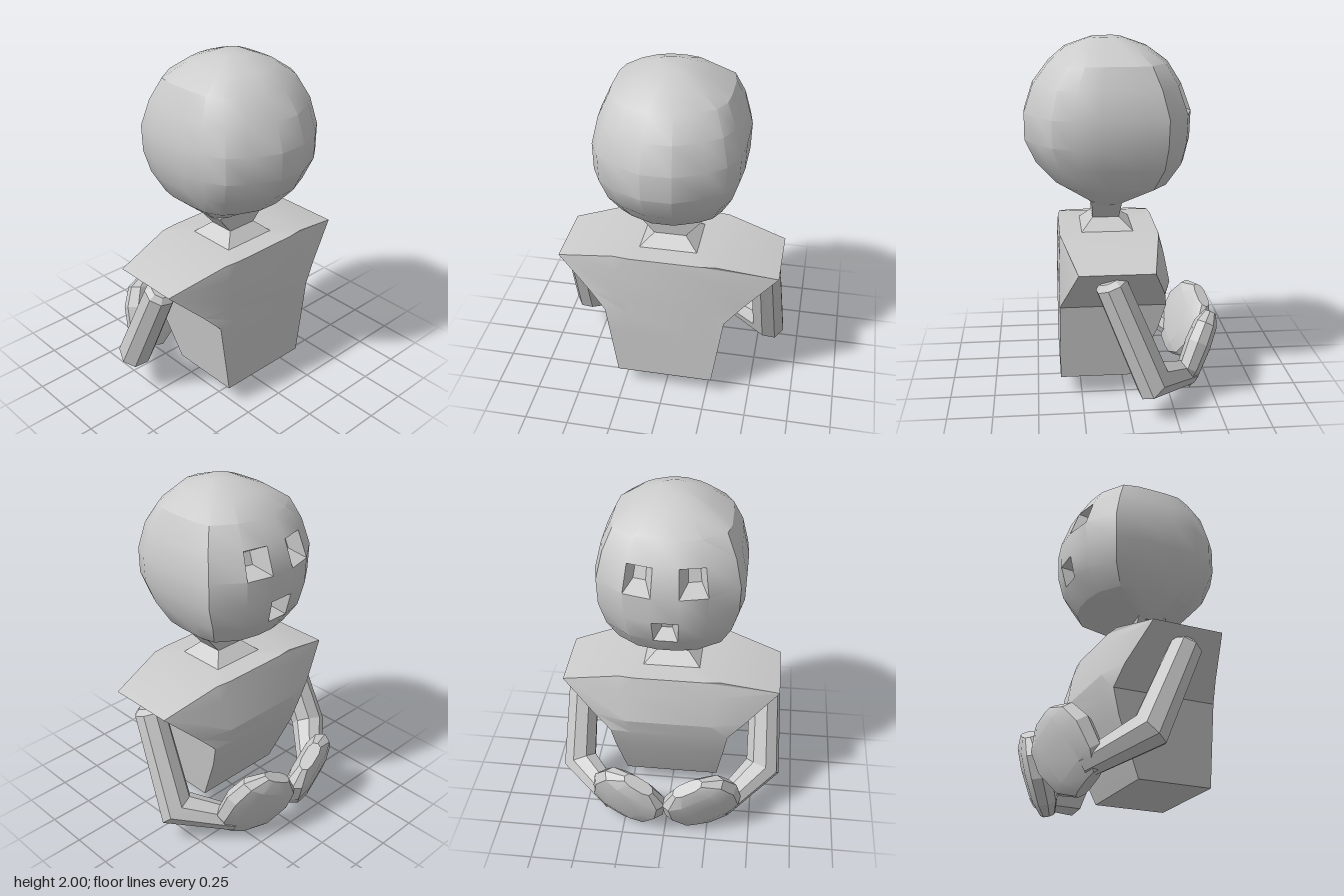
import * as THREE from 'three';
import { toCreasedNormals } from 'three/addons/utils/BufferGeometryUtils.js';

const V = (x, y, z) => new THREE.Vector3(x, y, z);
const material = new THREE.MeshStandardMaterial({ color: 0xcccccc });

function addMesh(parent, geometry, name) {
  const mesh = new THREE.Mesh(geometry, material);
  mesh.name = name;
  parent.add(mesh);
  return mesh;
}

// Skin a stack of rings and cap both ends; cells where isHole(i, j) become sockets
function loft(rings, crease = 0.5, isHole = () => false) {
  const out = [];
  const tri = (...pts) => pts.forEach(p => out.push(p.x, p.y, p.z));
  const quad = (a, b, c, d) => { tri(a, b, c); tri(a, c, d); };
  const middle = pts => pts.reduce((s, p) => s.add(p), V(0, 0, 0)).divideScalar(pts.length);
  const n = rings[0].length;
  for (let i = 0; i < rings.length - 1; i++) {
    for (let j = 0; j < n; j++) {
      const k = (j + 1) % n;
      const cell = [rings[i][j], rings[i + 1][j], rings[i + 1][k], rings[i][k]];
      if (!isHole(i, j)) { quad(...cell); continue; }
      const c = middle(cell);
      const inner = cell.map(p => p.clone().lerp(c, 0.55).add(V(0, 0, 0.09)));
      cell.forEach((p, e) => quad(p, cell[(e + 1) % 4], inner[(e + 1) % 4], inner[e]));
      quad(...inner);
    }
  }
  const first = rings[0], last = rings[rings.length - 1];
  const c0 = middle(first), c1 = middle(last);
  for (let j = 0; j < n; j++) {
    const k = (j + 1) % n;
    tri(c0, first[j], first[k]);
    tri(c1, last[k], last[j]);
  }
  const geometry = new THREE.BufferGeometry();
  geometry.setAttribute('position', new THREE.Float32BufferAttribute(out, 3));
  return toCreasedNormals(geometry, crease);
}

// Complete a half ring (x > 0, from -z to +z) by mirroring it
const mirrorRing = half => [...half, ...half.slice().reverse().map(p => V(-p.x, p.y, p.z))];

// Rounded-box head with two eye sockets and a mouth
function headGeometry() {
  const section = [[0.18, -1], [0.55, -0.92], [0.94, -0.66], [1, -0.39], [1, 0.12],
    [0.97, 0.43], [0.83, 0.68], [0.6, 0.84], [0.2, 1]];
  // height, half width, lowest z, highest z
  const levels = [
    [1.09, 0.17, 0.0, 0.18], [1.2, 0.3, -0.26, 0.37], [1.32, 0.36, -0.345, 0.48],
    [1.45, 0.4, -0.375, 0.54], [1.6, 0.405, -0.38, 0.54], [1.75, 0.37, -0.325, 0.49],
    [1.87, 0.315, -0.25, 0.4], [1.95, 0.2, -0.14, 0.31], [2.0, 0.08, 0.0, 0.17]];
  const rings = levels.map(([y, w, z0, z1]) => mirrorRing(section.map(([a, b]) =>
    V(a * w, y, (z0 + z1) / 2 + b * (z1 - z0) / 2))));
  const isHole = (i, j) => (i === 4 && (j === 0 || j === 16)) || (i === 2 && j === 17);
  return loft(rings, 0.5, isHole);
}

// Square neck, flared at the collar
function neckGeometry() {
  const levels = [[0.92, 0.18, -0.07, 0.25], [1.0, 0.09, 0.02, 0.17], [1.11, 0.18, 0.01, 0.18]];
  return loft(levels.map(([y, w, z0, z1]) => mirrorRing([V(w, y, z0), V(w, y, z1)])), 0.3);
}

// Torso with overhanging shoulders
function torsoGeometry() {
  // height, inner x, inner z range, edge x, edge z range
  const levels = [
    [0.11, 0.2, -0.05, 0.37, 0.28, -0.05, 0.37],
    [0.42, 0.22, -0.19, 0.37, 0.325, -0.18, 0.37],
    [0.56, 0.22, -0.23, 0.37, 0.345, -0.22, 0.37],
    [0.66, 0.25, -0.25, 0.37, 0.44, -0.2, 0.335],
    [0.845, 0.28, -0.21, 0.365, 0.63, -0.125, 0.275],
    [0.935, 0.2, -0.19, 0.36, 0.29, -0.18, 0.35]];
  return loft(levels.map(([y, xi, a, b, xe, c, d]) =>
    mirrorRing([V(xi, y, a), V(xe, y, c), V(xe, y, d), V(xi, y, b)])), 0.4);
}

// Faceted arm with a mitred elbow
function armGeometry(shoulder, elbow, wrist) {
  const upper = elbow.clone().sub(shoulder).normalize();
  const lower = wrist.clone().sub(elbow).normalize();
  const normal = upper.clone().cross(lower).normalize();
  const bend = upper.clone().add(lower).normalize();
  const ring = (center, dir, radius, stretch) => {
    const u = dir.clone().cross(normal).multiplyScalar(radius * stretch);
    return Array.from({ length: 8 }, (_, k) => {
      const t = (k + 0.5) * Math.PI / 4;
      return center.clone().addScaledVector(u, Math.cos(t)).addScaledVector(normal, radius * Math.sin(t));
    });
  };
  return loft([
    ring(shoulder.clone().addScaledVector(upper, -0.03), upper, 0.06, 1),
    ring(shoulder, upper, 0.09, 1),
    ring(elbow, bend, 0.1, 1 / bend.dot(upper)),
    ring(wrist, lower, 0.07, 1)], 0.5);
}

// Flat, blocky mitten hand
function handGeometry() {
  const levels = [[-1, 0.45, 0.55], [-0.6, 0.85, 0.9], [0.1, 1, 1], [0.65, 0.85, 0.9], [1, 0.4, 0.5]];
  const section = [[0.45, -1], [0.85, -0.7], [1, 0], [0.85, 0.7], [0.45, 1]];
  return loft(levels.map(([y, w, d]) => mirrorRing(section.map(([x, z]) =>
    V(x * w * 0.235, y * 0.22, z * d * 0.075)))), 0.4);
}

export function createModel() {
  const model = new THREE.Group();
  model.name = 'bust';
  addMesh(model, headGeometry(), 'head');
  addMesh(model, neckGeometry(), 'neck');
  addMesh(model, torsoGeometry(), 'torso');

  // Arms and hands, with one elbow held a little higher
  for (const [side, label, elbowY] of [[1, 'left', 0.21], [-1, 'right', 0.27]]) {
    addMesh(model, armGeometry(V(side * 0.545, 0.76, 0.1), V(side * 0.565, elbowY, -0.12),
      V(side * 0.32, 0.13, -0.36)), label + 'Arm');
    const hand = addMesh(model, handGeometry(), label + 'Hand');
    hand.position.set(side * 0.22, 0.23, -0.42);
    hand.rotation.set(-0.3, -side * 0.34, side * 0.5, 'YXZ');
  }
  return model;
}
